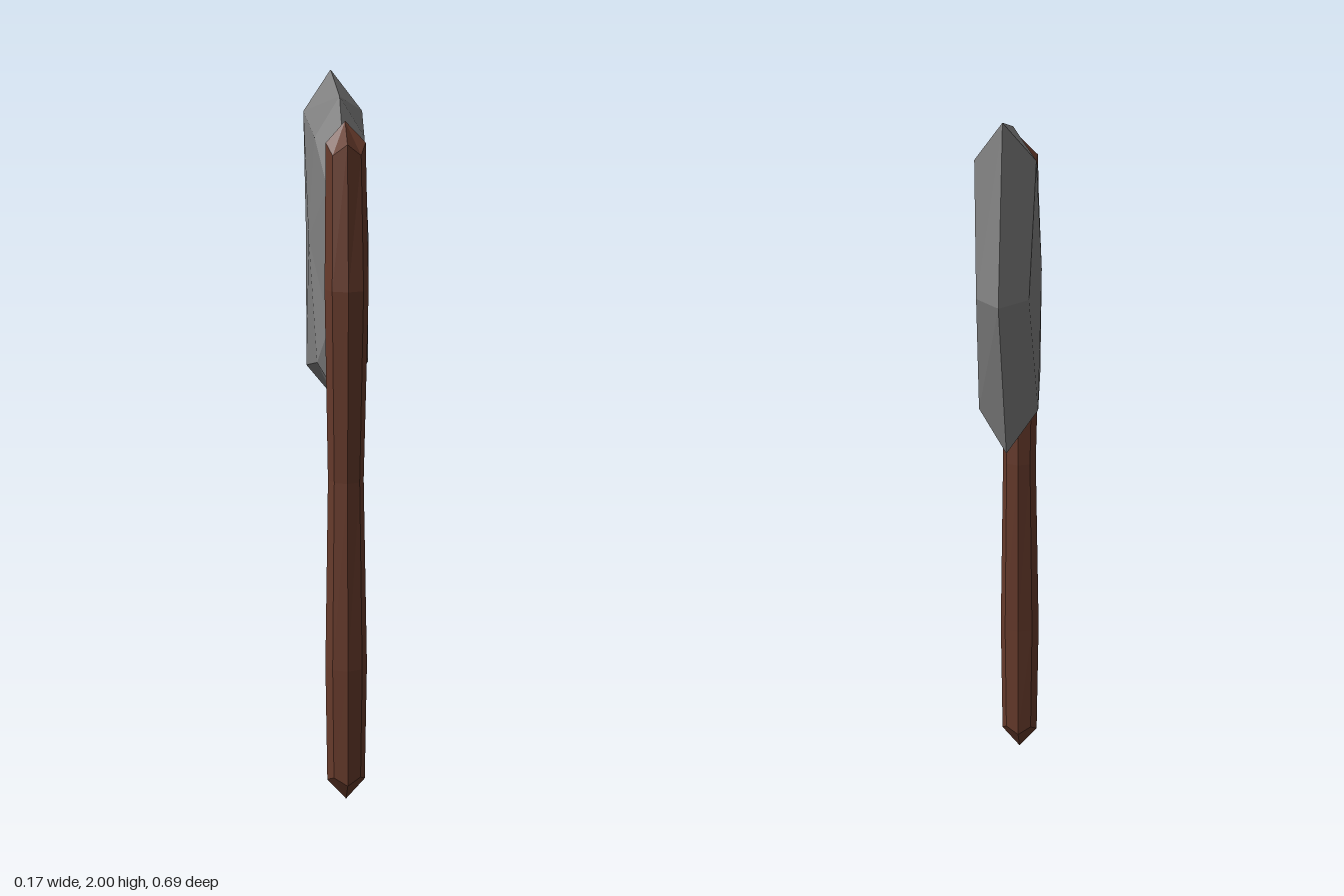
import * as THREE from 'three';

const wood = new THREE.MeshStandardMaterial({ name: 'brown wood', color: 0x663a2b, flatShading: true });
const stone = new THREE.MeshStandardMaterial({ name: 'grey stone', color: 0x808080, flatShading: true });

// Flat-faced mesh from a list of triangles, each made of three [x, y, z] corners
function facetedMesh(name, triangles, material) {
  const geometry = new THREE.BufferGeometry();
  geometry.setAttribute('position', new THREE.Float32BufferAttribute(triangles.flat(2), 3));
  geometry.computeVertexNormals();
  const mesh = new THREE.Mesh(geometry, material);
  mesh.name = name;
  return mesh;
}

// Gently bent eight-sided stick, whittled to a four-faced point at both ends
function createHandle() {
  const sides = 8;
  // y, centre z, half width in x, half depth in z, y shift of every second corner
  const sections = [
    [0.06, 0.288, 0.053, 0.053, 0.02],
    [0.4, 0.288, 0.058, 0.055, 0],
    [0.93, 0.271, 0.049, 0.05, 0],
    [1.46, 0.29, 0.059, 0.053, 0],
    [1.845, 0.258, 0.053, 0.052, -0.03],
  ];
  const rings = sections.map(([y, z, rx, rz, shift]) =>
    Array.from({ length: sides }, (_, i) => {
      const a = (i / sides) * Math.PI * 2;
      return [Math.sin(a) * rx, y + (i % 2) * shift, z + Math.cos(a) * rz];
    }));
  const foot = [0, 0, 0.288];
  const tip = [0, 1.9, 0.238];
  const bottom = rings[0], top = rings[rings.length - 1];
  const triangles = [];
  for (let i = 0; i < sides; i++) {
    const j = (i + 1) % sides;
    for (let r = 0; r < rings.length - 1; r++) {
      const low = rings[r], high = rings[r + 1];
      triangles.push([low[i], low[j], high[j]], [low[i], high[j], high[i]]);
    }
    triangles.push([foot, bottom[j], bottom[i]], [top[i], top[j], tip]);
  }
  return facetedMesh('handle', triangles, wood);
}

// Chipped stone head: a thin outer edge bevelled up to a raised face on each side
function createBlade() {
  const edge = [
    [0, 1.95, 0.07], [0, 2.0, -0.227], [0, 1.53, -0.343], [0, 1.07, -0.127],
    [0, 1.12, 0.2], [0, 1.3, 0.25], [0, 1.79, 0.21],
  ];
  const face = [
    [0.068, 1.84, 0.07], [0.083, 1.89, -0.152], [0.071, 1.53, -0.23], [0.083, 1.18, -0.063],
    [0.07, 1.235, 0.165], [0.042, 1.35, 0.24], [0.045, 1.72, 0.205],
  ];
  const centre = [0.083, 1.56, 0.04];
  const triangles = [];
  for (const side of [1, -1]) {
    const add = (...corners) => {
      const placed = corners.map(([x, y, z]) => [x * side, y, z]);
      triangles.push(side > 0 ? placed : placed.reverse());
    };
    edge.forEach((outer, i) => {
      const j = (i + 1) % edge.length;
      add(outer, face[j], edge[j]);
      add(outer, face[i], face[j]);
      add(centre, face[j], face[i]);
    });
  }
  return facetedMesh('blade', triangles, stone);
}

export function createModel() {
  const axe = new THREE.Group();
  axe.name = 'stone axe';
  axe.add(createHandle(), createBlade());
  return axe;
}
